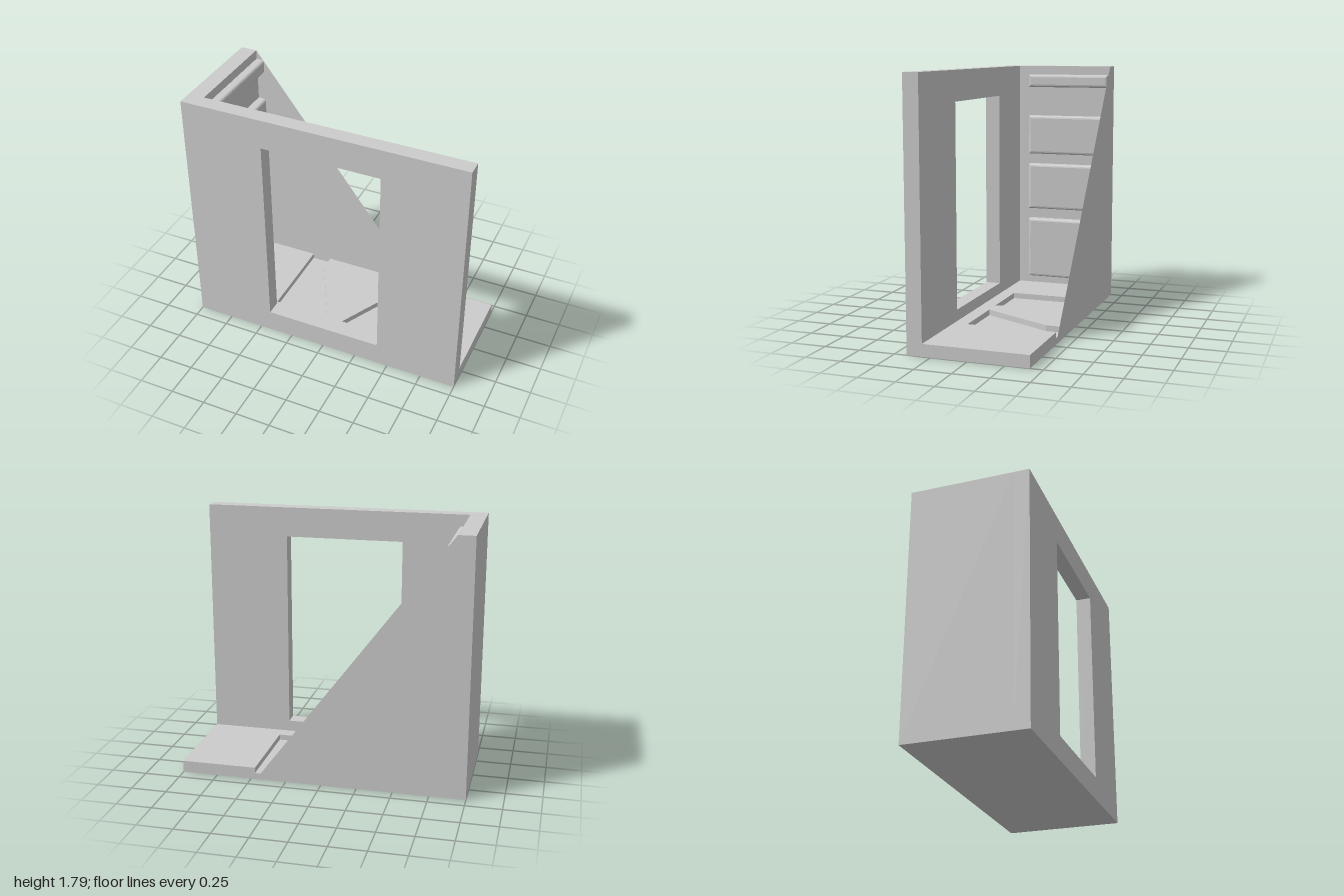
import * as THREE from 'three';

const material = new THREE.MeshStandardMaterial({ color: 0xcccccc, flatShading: true });
const thin = new THREE.MeshStandardMaterial({ color: 0xcccccc, side: THREE.DoubleSide });

function rectPoints(x0, y0, x1, y1) {
  return [[x0, y0], [x1, y0], [x1, y1], [x0, y1]].map(([x, y]) => new THREE.Vector2(x, y));
}

function shapeOf(points) {
  return new THREE.Shape(points.map(([x, y]) => new THREE.Vector2(x, y)));
}

export function createModel() {
  const group = new THREE.Group();

  function add(name, geometry, mat = material) {
    const mesh = new THREE.Mesh(geometry, mat);
    mesh.name = name;
    group.add(mesh);
    return mesh;
  }
  function box(name, x0, x1, y0, y1, z0, z1) {
    const mesh = add(name, new THREE.BoxGeometry(x1 - x0, y1 - y0, z1 - z0));
    mesh.position.set((x0 + x1) / 2, (y0 + y1) / 2, (z0 + z1) / 2);
  }

  const H = 1.79, back = -0.414, front = 0.414, inner = 0.307;
  const wallX = -0.885, floorY = 0.085, pocketY = 0.045;

  // Front panel with a window opening
  const panel = new THREE.Shape(rectPoints(-1, 0, 1, H));
  panel.holes.push(new THREE.Path(rectPoints(-0.42, 0.165, 0.42, 1.58)));
  const panelGeo = new THREE.ExtrudeGeometry(panel, { depth: front - inner, bevelEnabled: false });
  add('frontPanel', panelGeo.translate(0, 0, inner));

  // Side wall and lower floor slab
  box('sideWall', -1, wallX, 0, H, back, inner);
  box('floorBase', wallX, 1, 0, pocketY, back, inner);

  // Upper floor layer, with two pockets open at the back (drawn as x, -z)
  const pocket = [[0.47, -back], [0.47, -0.21], [0.06, -0.21], [0.325, 0.30], [0.325, -back]];
  const mirrored = pocket.map(([x, y]) => [-x, y]).reverse();
  const floor = shapeOf([[wallX, -inner], [1, -inner], [1, -back], ...pocket, ...mirrored, [wallX, -back]]);
  const floorGeo = new THREE.ExtrudeGeometry(floor, { depth: floorY - pocketY, bevelEnabled: false });
  add('floorTop', floorGeo.rotateX(-Math.PI / 2).translate(0, pocketY, 0));

  // Thin triangular back sheet
  const sheet = shapeOf([[wallX, pocketY], [0.43, pocketY], [wallX, H]]);
  add('backSheet', new THREE.ShapeGeometry(sheet).translate(0, 0, back), thin);

  // Raised blocks on the inside of the side wall (drawn as -z, y)
  const bevel = 0.02;
  const blocks = [[1.63, 1.725], [1.115, 1.41], [0.685, 1.035], [0.145, 0.605]];
  blocks.forEach(([y0, y1], i) => {
    const shape = new THREE.Shape(rectPoints(-0.215, y0, 0.412, y1));
    // The lowest block has a long slot
    if (i === 3) shape.holes.push(new THREE.Path(rectPoints(-0.18, 0.38, 0.365, 0.46)));
    const geo = new THREE.ExtrudeGeometry(shape, {
      depth: 0.06, bevelThickness: bevel, bevelSize: bevel, bevelOffset: -bevel, bevelSegments: 3,
    });
    add('wallBlock' + (i + 1), geo.rotateY(Math.PI / 2).translate(-0.9, 0, 0));
  });

  return group;
}
